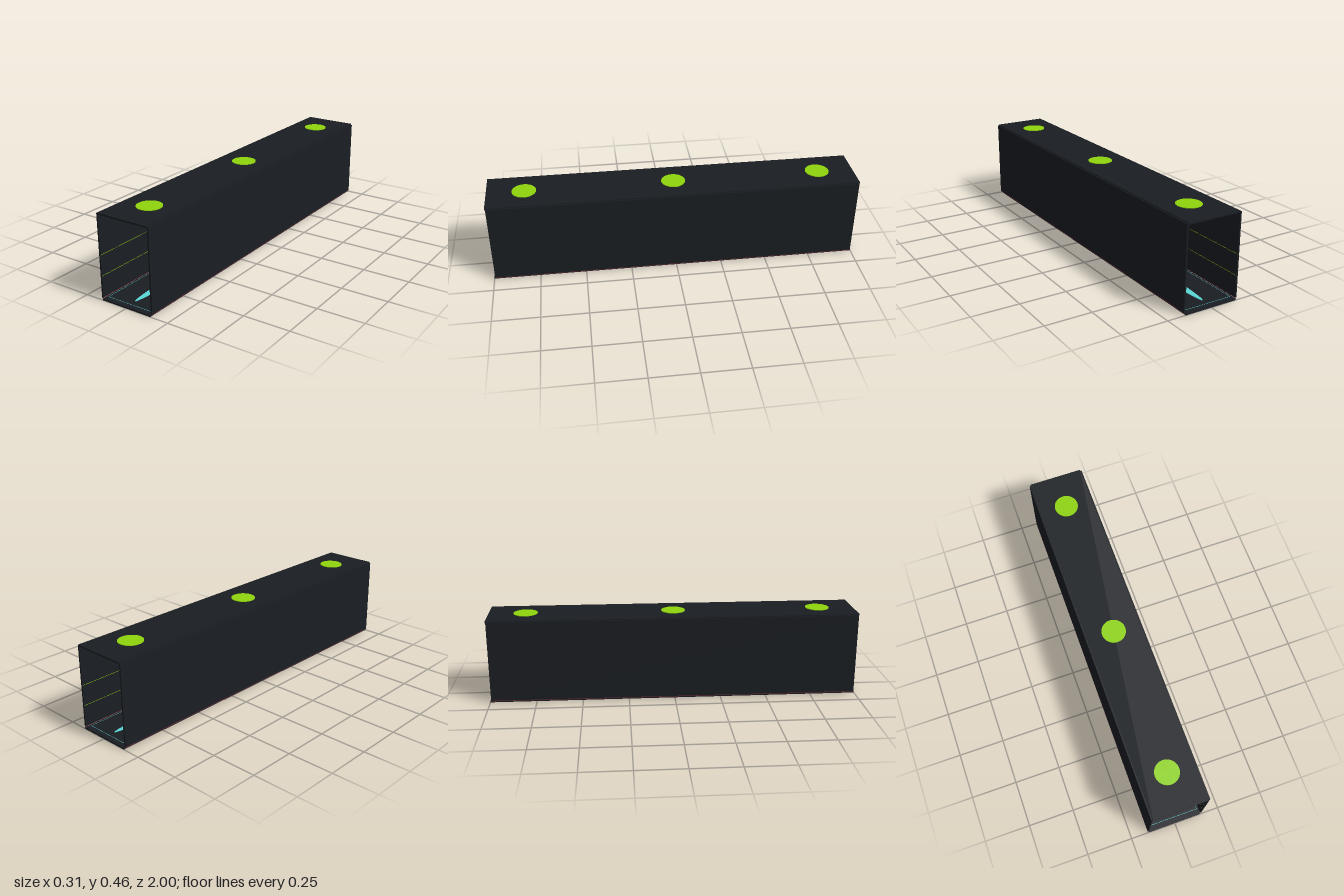
import * as THREE from 'three';

const material = (color) => new THREE.MeshStandardMaterial({ color });

export function createModel() {
  const model = new THREE.Group();
  const dark = material(0x1a1e23);
  const lime = material(0x8fd40c);
  const cyan = material(0x5ad8d8);
  const red = material(0x7a3038);

  const add = (name, geometry, mat, x, y, z) => {
    const mesh = new THREE.Mesh(geometry, mat);
    mesh.name = name;
    mesh.position.set(x, y, z);
    model.add(mesh);
    return mesh;
  };
  // Box given by its ranges in x and y, running along z
  const slab = (name, mat, x0, x1, y0, y1, length = 2, z = 0) =>
    add(name, new THREE.BoxGeometry(Math.abs(x1 - x0), y1 - y0, length), mat, (x0 + x1) / 2, (y0 + y1) / 2, z);

  // Corridor shell, open at both ends
  slab('floor', dark, -0.148, 0.148, 0, 0.008);
  slab('ceiling', dark, -0.148, 0.148, 0.447, 0.455);

  for (const s of [-1, 1]) {
    const side = s > 0 ? 'left' : 'right';
    slab(side + 'Wall', dark, s * 0.148, s * 0.156, 0.012, 0.45, 1.99);
    slab(side + 'SkirtingStrip', red, s * 0.148, s * 0.1563, 0.009, 0.012, 1.99);
    // Thin lines on the inner wall faces and along the ceiling edge
    for (const y of [0.126, 0.236]) {
      slab(side + 'WallLine', lime, s * 0.1475, s * 0.1485, y - 0.001, y + 0.001, 1.99);
    }
    slab(side + 'CeilingLine', lime, s * 0.143, s * 0.145, 0.4465, 0.4475, 1.99);
    // Inset border on the floor
    slab(side + 'FloorBorder', cyan, s * 0.137, s * 0.1385, 0.0075, 0.0085, 1.94);
    slab('floorBorderEnd', cyan, -0.1385, 0.1385, 0.0075, 0.0085, 0.002, s * 0.969);
  }

  // Long tapered guide marking down the middle of the floor
  const guide = add('floorGuide', new THREE.CylinderGeometry(1, 1, 0.002, 64), cyan, 0, 0.009, 0);
  guide.scale.set(0.037, 1, 0.935);

  // Round ceiling lamps, with a dark centre seen from inside
  for (const z of [-0.8, 0, 0.8]) {
    add('lamp', new THREE.CylinderGeometry(0.065, 0.065, 0.0115, 48), lime, 0, 0.45225, z);
    add('lampCentre', new THREE.CylinderGeometry(0.035, 0.035, 0.002, 32), dark, 0, 0.447, z);
  }
  return model;
}
